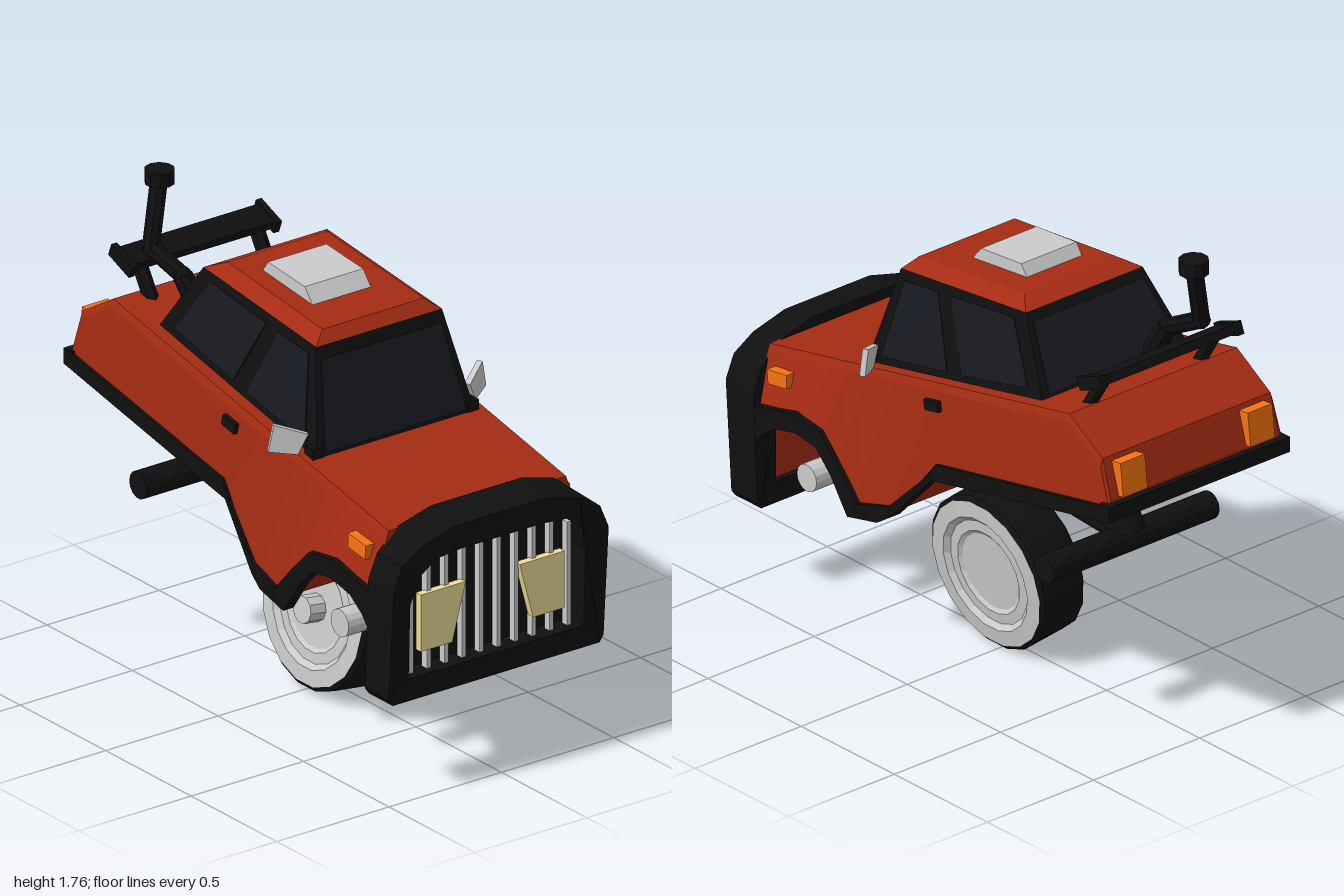
import * as THREE from 'three';

const mat = (color) => new THREE.MeshStandardMaterial({ color, flatShading: true, roughness: 0.8 });
const GREY = mat(0xcccccc), RED = mat(0xa62c13), BLACK = mat(0x101010), GLASS = mat(0x171a20);
const ORANGE = mat(0xf87410), CREAM = mat(0xf0e098);
const V = (x, y, z) => new THREE.Vector3(x, y, z);

// Closed solid through rings of points; faces are turned outward by signed volume
function loft(rings) {
  const tris = [], n = rings[0].length, last = rings[rings.length - 1];
  for (let i = 0; i + 1 < rings.length; i++) {
    const a = rings[i], b = rings[i + 1];
    for (let j = 0; j < n; j++) {
      const k = (j + 1) % n;
      tris.push([a[j], a[k], b[k]], [a[j], b[k], b[j]]);
    }
  }
  for (let j = 1; j + 1 < n; j++) {
    tris.push([rings[0][0], rings[0][j + 1], rings[0][j]], [last[0], last[j], last[j + 1]]);
  }
  const o = rings[0][0];
  let vol = 0;
  for (const [a, b, c] of tris) {
    vol += a.clone().sub(o).dot(b.clone().sub(o).cross(c.clone().sub(o)));
  }
  const pts = tris.flatMap(([a, b, c]) => (vol < 0 ? [a, c, b] : [a, b, c]));
  const g = new THREE.BufferGeometry().setFromPoints(pts);
  g.computeVertexNormals();
  return g;
}

// Thin slab: a polygon pushed along a vector
const slab = (ring, push) => loft([ring, ring.map((p) => p.clone().add(push))]);

function rod(a, b, r, sides = 14) {
  const d = b.clone().sub(a);
  const g = new THREE.CylinderGeometry(r, r, d.length(), sides);
  g.applyQuaternion(new THREE.Quaternion().setFromUnitVectors(V(0, 1, 0), d.normalize()));
  return g.translate(...a.clone().add(b).multiplyScalar(0.5).toArray());
}

function box(w, h, d, x, y, z, tilt = 0) {
  return new THREE.BoxGeometry(w, h, d).rotateX(tilt).translate(x, y, z);
}

const poly = (pts) => new THREE.Shape(pts.map(([x, y]) => new THREE.Vector2(x, y)));
const extrude = (shape, depth) => new THREE.ExtrudeGeometry(shape, { depth, bevelEnabled: false });
const mirrored = (half) => [...half, ...half.map(([x, y]) => [-x, y]).reverse()];
const topY = (z) => 1.0 + (0.85 - z) * 0.206;
const sideX = (z) => THREE.MathUtils.lerp(0.415, 0.465, THREE.MathUtils.clamp((z + 0.08) / 0.34, 0, 1));

export function createModel() {
  const model = new THREE.Group();
  const add = (name, geometry, material) => {
    const m = new THREE.Mesh(geometry, material);
    m.name = name;
    model.add(m);
  };

  // Body shell: stations of z, underside height and optional top height
  const stations = [[0.86, 0.71], [0.74, 0.77], [0.63, 0.79], [0.51, 0.77], [0.42, 0.68], [0.33, 0.57],
    [0.18, 0.59], [0.14, 0.63], [-0.05, 0.84], [-0.75, 0.985], [-0.93, 1.02, 1.22], [-0.975, 1.03, 1.07]];
  add('body', loft(stations.map(([z, yb, yt = topY(z)]) => {
    const w = sideX(z), sh = Math.max(yb + 0.01, yt - 0.03);
    return mirrored([[w, yb], [0.405, sh], [0.395, yt]]).map(([x, y]) => V(x, y, z));
  })), RED);

  // Lower trim with wheel arch, bent to follow the body width
  const lower = [[0.85, 0.63], [0.81, 0.68], [0.74, 0.73], [0.63, 0.755], [0.52, 0.74], [0.44, 0.66], [0.35, 0.53],
    [0.2, 0.56], [0.14, 0.6], [-0.05, 0.81], [-1, 1.0]];
  const upper = [[-1, 1.06], [-0.07, 0.88], [0.0, 0.79], [0.15, 0.64], [0.3, 0.6], [0.4, 0.71], [0.5, 0.81],
    [0.64, 0.83], [0.85, 0.78]];
  for (const s of [1, -1]) {
    const g = extrude(poly([...lower, ...upper]), 0.05).rotateY(-Math.PI / 2);
    const p = g.attributes.position;
    for (let i = 0; i < p.count; i++) {
      const isInner = (p.getX(i) < -0.02) === (s > 0);
      p.setX(i, s * (sideX(p.getZ(i)) + (isInner ? -0.035 : 0.012)));
    }
    g.computeVertexNormals();
    add('sideTrim', g, BLACK);
  }
  add('rearBumper', box(0.85, 0.06, 0.05, 0, 1.03, -0.975), BLACK);

  // Nose: thick arched surround, panel, grille bars and headlights
  const outer = mirrored([[0.46, 0.375], [0.478, 0.4], [0.478, 0.83], [0.44, 0.92], [0.35, 1.0], [0.2, 1.04]]);
  const inner = mirrored([[0.39, 0.46], [0.39, 0.75], [0.36, 0.86], [0.29, 0.91], [0.18, 0.92]]);
  const surround = poly(outer);
  surround.holes.push(poly(inner));
  const ring = extrude(surround, 0.15).translate(0, 0, 0.84);
  const rp = ring.attributes.position;
  for (let i = 0; i < rp.count; i++) {
    const y = rp.getY(i), front = rp.getZ(i) > 0.9;
    const shift = y > 0.8 ? 0.01 : -0.01;
    rp.setZ(i, rp.getZ(i) + (front && y < 0.5 ? -0.02 : shift));
    if (front && y > 0.95) rp.setY(i, y - 0.025);
  }
  ring.computeVertexNormals();
  add('noseSurround', ring, BLACK);
  const noseShape = poly(outer.map(([x, y]) => [x * 0.95, 0.7 + (y - 0.7) * 0.92]));
  add('nosePanel', extrude(noseShape, 0.03).translate(0, 0, 0.853), RED);
  const grilleShape = poly(inner.map(([x, y]) => [x * 0.99, Math.max(y, 0.467)]));
  add('grilleBacking', extrude(grilleShape, 0.02).translate(0, 0, 0.875), BLACK);
  for (let i = 0; i < 10; i++) {
    const x = (i - 4.5) * 0.078, h = Math.abs(x) > 0.3 ? 0.4 : 0.45;
    add('grilleBar', box(0.018, h, 0.03, x, 0.46 + h / 2, 0.92), GREY);
  }

  // Cabin frame with bilinear window panes
  const base = [V(0.355, 1.085, 0.385), V(-0.355, 1.085, 0.385), V(-0.345, 1.28, -0.55), V(0.345, 1.28, -0.55)];
  const eave = [V(0.28, 1.475, 0.285), V(-0.28, 1.475, 0.285), V(-0.275, 1.55, -0.38), V(0.275, 1.55, -0.38)];
  add('cabinFrame', loft([base, eave]), BLACK);
  const pane = (name, i, j, uvs) => {
    const corners = uvs.map(([u, v]) => base[i].clone().lerp(base[j], u).lerp(eave[i].clone().lerp(eave[j], u), v));
    const n = base[j].clone().sub(base[i]).cross(eave[i].clone().sub(base[i])).normalize();
    if (n.dot(base[i].clone().add(base[j]).setY(0)) < 0) n.negate();
    add(name, slab(corners.map((p) => p.addScaledVector(n, -0.01)), n.multiplyScalar(0.015)), GLASS);
  };
  const wide = [[0.05, 0.06], [0.95, 0.06], [0.96, 0.88], [0.04, 0.88]];
  pane('windscreen', 0, 1, wide);
  pane('rearWindow', 3, 2, wide);
  for (const [i, j] of [[0, 3], [1, 2]]) {
    pane('frontSideWindow', i, j, [[0.07, 0.1], [0.455, 0.1], [0.32, 0.9], [0.06, 0.9]]);
    pane('rearSideWindow', i, j, [[0.54, 0.1], [0.93, 0.13], [0.9, 0.9], [0.42, 0.9]]);
  }

  // Roof and its hatch
  const roofTop = [V(0.225, 1.518, 0.25), V(-0.225, 1.518, 0.25), V(-0.22, 1.58, -0.31), V(0.22, 1.58, -0.31)];
  add('roof', loft([eave, roofTop]), RED);
  const hatch = [[0.1, 1.525], [0.045, 1.59], [-0.17, 1.61], [-0.205, 1.56]];
  add('roofHatch', slab(hatch.map(([z, y]) => V(-0.148, y, z)), V(0.26, 0, 0)), GREY);

  // Paired details
  for (const s of [1, -1]) {
    const lamp = [[0.12, 0.76], [0.32, 0.76], [0.32, 0.54], [0.18, 0.54]];
    add('headlight', slab(lamp.map(([x, y]) => V(s * x, y, 0.92)), V(0, 0, 0.03)), CREAM);
    const mirror = [V(s * 0.385, 1.105, 0.31), V(s * 0.475, 1.12, 0.255), V(s * 0.455, 1.22, 0.26), V(s * 0.35, 1.18, 0.325)];
    add('wingMirror', slab(mirror, V(s * 0.01, 0, 0.02)), GREY);
    add('mirrorMount', box(0.05, 0.04, 0.05, s * 0.345, 1.115, 0.36), BLACK);
    const signal = [[0.805, 0.935], [0.7, 0.95], [0.7, 0.895], [0.8, 0.88]];
    add('turnSignal', slab(signal.map(([z, y]) => V(s * 0.41, y, z)), V(s * 0.045, 0, 0)), ORANGE);
    add('tailLight', box(0.115, 0.13, 0.05, s * 0.3, 1.14, -0.965, 0.12), ORANGE);
    add('doorHandle', box(0.03, 0.04, 0.075, s * 0.41, 1.1, -0.04, 0.2), BLACK);
    add('spoilerPost', rod(V(s * 0.26, 1.3, -0.7), V(s * 0.26, 1.43, -0.78), 0.028, 6), BLACK);
    add('spoilerEnd', box(0.025, 0.05, 0.13, s * 0.322, 1.445, -0.79, 0.38), BLACK);
  }
  add('spoilerBar', box(0.64, 0.035, 0.1, 0, 1.445, -0.79, 0.38), BLACK);

  // Bent exhaust stack with cap
  const stack = [V(-0.17, 1.28, -0.53), V(-0.2, 1.42, -0.6), V(-0.235, 1.49, -0.74), V(-0.17, 1.74, -0.775)];
  for (let i = 0; i < 3; i++) add('stackPipe', rod(stack[i], stack[i + 1], i ? 0.032 : 0.038, 8), BLACK);
  for (const p of stack.slice(1, 3)) add('stackElbow', new THREE.SphereGeometry(0.035, 8, 6).translate(p.x, p.y, p.z), BLACK);
  add('stackCap', new THREE.CylinderGeometry(0.055, 0.055, 0.055, 10).translate(-0.17, 1.738, -0.775), BLACK);

  // Axles and running gear
  add('frontAxle', rod(V(-0.43, 0.565, 0.62), V(0.43, 0.565, 0.62), 0.053), GREY);
  add('rearAxle', rod(V(-0.39, 0.655, -0.61), V(0.39, 0.655, -0.61), 0.053), BLACK);
  add('driveShaft', rod(V(0, 0.72, -0.08), V(0, 0.685, -0.6), 0.058), BLACK);
  add('shaftJoint', rod(V(0, 0.83, 0.03), V(0, 0.72, -0.09), 0.055), BLACK);
  add('axleStrut', rod(V(0, 0.94, -0.47), V(0, 0.67, -0.61), 0.07), BLACK);

  // Loose wheel leaning beneath the body
  const wheel = new THREE.Group();
  wheel.name = 'wheel';
  const lathe = (pts) => new THREE.LatheGeometry(pts.map(([r, y]) => new THREE.Vector2(r, y)), 18).rotateZ(-Math.PI / 2);
  const rim = [[0.287, 0.104], [0.225, 0.108], [0.205, 0.09], [0.165, 0.092], [0.15, 0.082], [0.001, 0.082]];
  const parts = [
    ['tyre', lathe([[0.286, -0.104], [0.304, -0.09], [0.304, 0.09], [0.286, 0.104]]), BLACK],
    ['outerRim', lathe(rim), GREY],
    ['innerRim', lathe(rim.map(([r, y]) => [r, -y])), GREY],
    ['hub', rod(V(-0.15, 0, 0), V(-0.08, 0, 0), 0.052, 10), GREY],
  ];
  for (const [name, g, m] of parts) {
    const mesh = new THREE.Mesh(g, m.clone());
    mesh.material.side = THREE.DoubleSide;
    mesh.name = name;
    wheel.add(mesh);
  }
  wheel.position.set(0, 0.314, 0.03);
  wheel.rotation.z = -0.13;
  model.add(wheel);
  return model;
}
